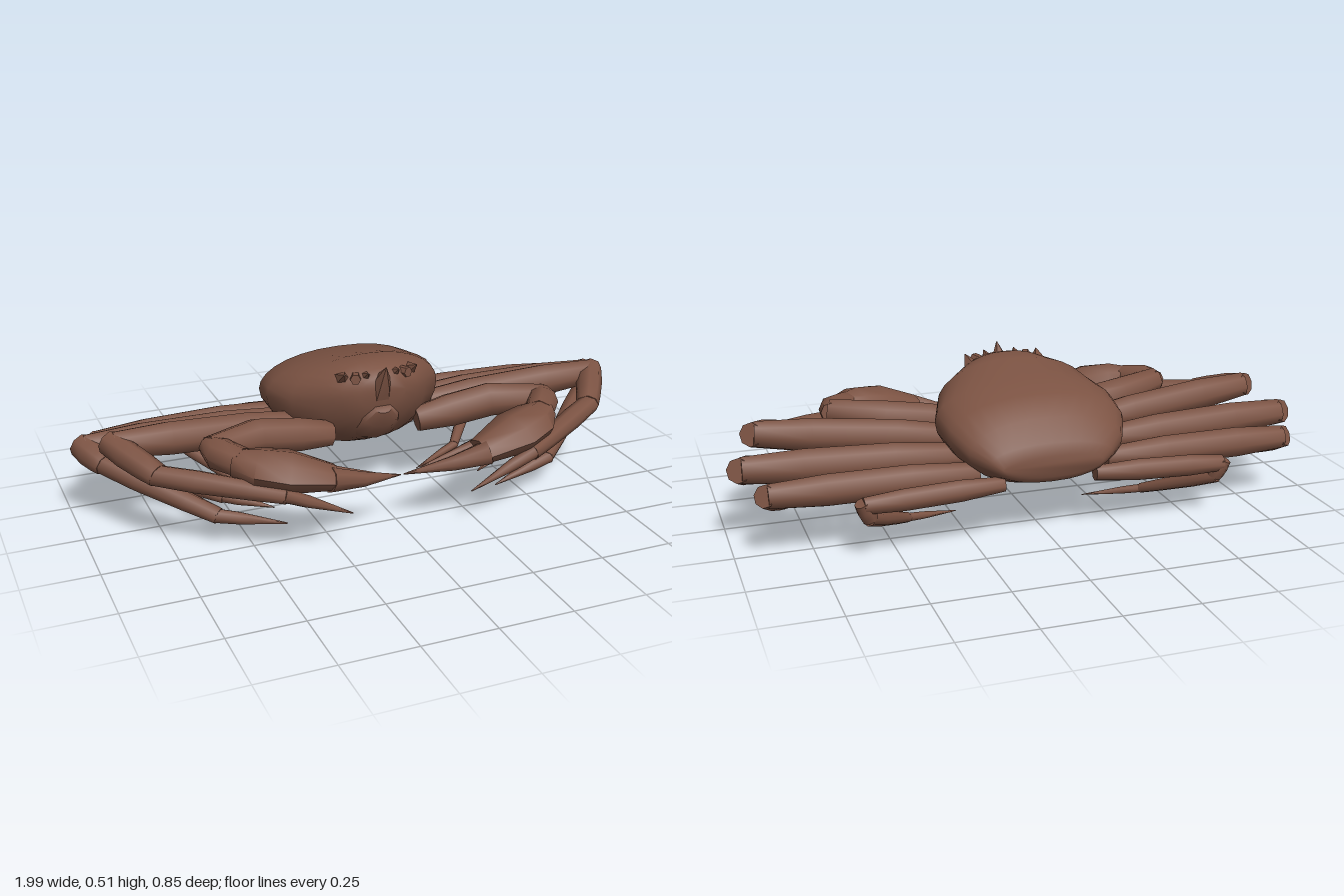
import * as THREE from 'three';
import { toCreasedNormals } from 'three/addons/utils/BufferGeometryUtils.js';

const shell = new THREE.MeshStandardMaterial({ color: 0x7c5343 });
shell.name = 'brown shell';

// Skin a series of closed rings and cap both ends.
function loft(rings) {
  const n = rings[0].length;
  const idx = [];
  for (let i = 0; i < rings.length - 1; i++) {
    for (let j = 0; j < n; j++) {
      const a = i * n + j, a1 = i * n + (j + 1) % n;
      idx.push(a, a1, a1 + n, a, a1 + n, a + n);
    }
  }
  const last = (rings.length - 1) * n;
  for (let j = 1; j < n - 1; j++) {
    idx.push(0, j + 1, j, last, last + j, last + j + 1);
  }
  const g = new THREE.BufferGeometry().setFromPoints(rings.flat());
  g.setIndex(idx);
  return toCreasedNormals(g, 0.95);
}

function addMesh(parent, name, geometry) {
  const m = new THREE.Mesh(geometry, shell);
  m.name = name;
  parent.add(m);
}

// One limb segment; stations are [x, y, z, side radius, height radius].
function segment(parent, name, side, stations, sides = 8) {
  const pts = stations.map(s => new THREE.Vector3(s[0] * side, s[1], s[2]));
  const up = new THREE.Vector3(0, 1, 0);
  const rings = pts.map((p, i) => {
    const t = pts[Math.min(i + 1, pts.length - 1)].clone().sub(pts[Math.max(i - 1, 0)]).normalize();
    const u = new THREE.Vector3().crossVectors(up, t).normalize();
    const v = new THREE.Vector3().crossVectors(t, u);
    const [, , , rh, rv = rh] = stations[i];
    return Array.from({ length: sides }, (_, j) => {
      const a = j / sides * Math.PI * 2;
      return p.clone().addScaledVector(u, Math.cos(a) * rh).addScaledVector(v, Math.sin(a) * rv);
    });
  });
  addMesh(parent, name, loft(rings));
}

// Carapace sections from back to front: [z, half width, bottom, widest height, top].
function carapace() {
  const sections = [
    [-0.428, 0.17, 0.22, 0.26, 0.29],
    [-0.415, 0.205, 0.2, 0.28, 0.33],
    [-0.36, 0.262, 0.18, 0.3, 0.4],
    [-0.27, 0.303, 0.18, 0.33, 0.45],
    [-0.15, 0.315, 0.18, 0.35, 0.467],
    [-0.02, 0.27, 0.185, 0.37, 0.505],
    [0.06, 0.19, 0.225, 0.39, 0.508],
    [0.11, 0.14, 0.3, 0.41, 0.495],
    [0.135, 0.085, 0.36, 0.42, 0.475],
  ];
  const n = 28;
  return loft(sections.map(([z, w, bottom, mid, top]) =>
    Array.from({ length: n }, (_, j) => {
      const a = j / n * Math.PI * 2, s = Math.sin(a), c = Math.cos(a);
      return new THREE.Vector3(
        Math.sign(c) * Math.pow(Math.abs(c), 0.9) * w,
        mid + s * (s > 0 ? top - mid : mid - bottom), z);
    })));
}

// Walking legs: every leg swells mid-segment and thins from hip to tip by the same rule.
const segmentNames = ['upperLeg', 'knee', 'lowerLeg', 'foot'];
const jointRadii = [0.045, 0.045, 0.039, 0.027, 0.002];

function walkingLeg(parent, name, side, thickness, joints) {
  const leg = new THREE.Group();
  leg.name = name;
  parent.add(leg);
  const points = joints.map(j => new THREE.Vector3(...j));
  segmentNames.forEach((part, i) => {
    const [a, b] = [points[i], points[i + 1]];
    const [ra, rb] = [jointRadii[i] * thickness, jointRadii[i + 1] * thickness];
    const start = a.clone().addScaledVector(b.clone().sub(a).normalize(), -0.5 * ra);
    const swell = i === 0 ? 1.3 : 1.08;
    const bulge = [0.3, 0.72].map(t =>
      [...a.clone().lerp(b, t), THREE.MathUtils.lerp(ra, rb, t) * swell]);
    segment(leg, part, side, [[...start, ra * 0.9], ...bulge, [...b, rb]]);
  });
}

// Clawed front limb: arm, wrist, broad palm and two tapering fingers.
function clawLimb(parent, side) {
  segment(parent, 'clawUpperArm', side, [
    [0.16, 0.265, 0.055, 0.045], [0.28, 0.285, 0.068, 0.06],
    [0.43, 0.305, 0.075, 0.062], [0.605, 0.32, 0.155, 0.046]]);
  segment(parent, 'clawWrist', side, [
    [0.605, 0.325, 0.125, 0.035], [0.585, 0.315, 0.18, 0.055], [0.53, 0.305, 0.255, 0.05]]);
  segment(parent, 'clawPalm', side, [
    [0.555, 0.305, 0.245, 0.045, 0.045], [0.49, 0.295, 0.287, 0.085, 0.062],
    [0.4, 0.28, 0.32, 0.1, 0.066], [0.26, 0.248, 0.35, 0.06, 0.04]]);
  segment(parent, 'clawInnerFinger', side, [
    [0.29, 0.255, 0.3, 0.026], [0.2, 0.23, 0.293, 0.016], [0.07, 0.2, 0.292, 0.002]]);
  segment(parent, 'clawOuterFinger', side, [
    [0.28, 0.25, 0.37, 0.042], [0.16, 0.222, 0.35, 0.026], [0.005, 0.188, 0.298, 0.002]]);
}

// Brow spines and eye stalk on one side of the face.
function faceDetails(parent, side) {
  for (const [x, y, z] of [[0.055, 0.495, 0.14], [0.13, 0.492, 0.118]]) {
    segment(parent, 'browSpine', side, [[x * 0.9, y - 0.04, z - 0.06, 0.035], [x, y, z, 0.002]], 5);
  }
  segment(parent, 'eyeStalk', side, [[0.075, 0.47, 0.08, 0.018], [0.095, 0.474, 0.128, 0.018]], 6);
}

export function createModel() {
  const crab = new THREE.Group();
  crab.name = 'crab';
  addMesh(crab, 'carapace', carapace());

  // Central beak between the eyes, and the rounded mouth below it
  segment(crab, 'rostrum', 1, [[0, 0.39, 0.09, 0.05], [0, 0.45, 0.125, 0.034], [0, 0.515, 0.163, 0.002]], 6);
  segment(crab, 'mouth', 1, [
    [0, 0.25, -0.03, 0.12, 0.06], [0, 0.29, 0.05, 0.1, 0.065],
    [0, 0.335, 0.11, 0.07, 0.05], [0, 0.365, 0.14, 0.03, 0.02]], 12);

  for (const side of [1, -1]) {
    const half = new THREE.Group();
    half.name = side > 0 ? 'leftLimbs' : 'rightLimbs';
    crab.add(half);
    faceDetails(half, side);
    clawLimb(half, side);

    // Joints run hip, knee, ankle, foot, tip
    walkingLeg(half, 'frontLeg', side, 1,
      [[0.22, 0.265, -0.075], [0.885, 0.32, 0], [0.78, 0.265, 0.165], [0.43, 0.23, 0.39], [0.21, 0.13, 0.392]]);
    walkingLeg(half, 'secondLeg', side, 1.02,
      [[0.25, 0.24, -0.19], [0.95, 0.257, -0.155], [0.9, 0.225, -0.07], [0.6, 0.105, 0.2], [0.38, 0.055, 0.24]]);
    walkingLeg(half, 'thirdLeg', side, 0.92,
      [[0.24, 0.22, -0.315], [0.89, 0.212, -0.29], [0.82, 0.165, -0.2], [0.53, 0.083, 0.025], [0.38, 0.05, 0.105]]);
    walkingLeg(half, 'backLeg', side, 0.64,
      [[0.17, 0.2, -0.39], [0.612, 0.185, -0.395], [0.59, 0.135, -0.385], [0.42, 0.034, -0.17], [0.23, 0.003, -0.09]]);
  }
  return crab;
}
